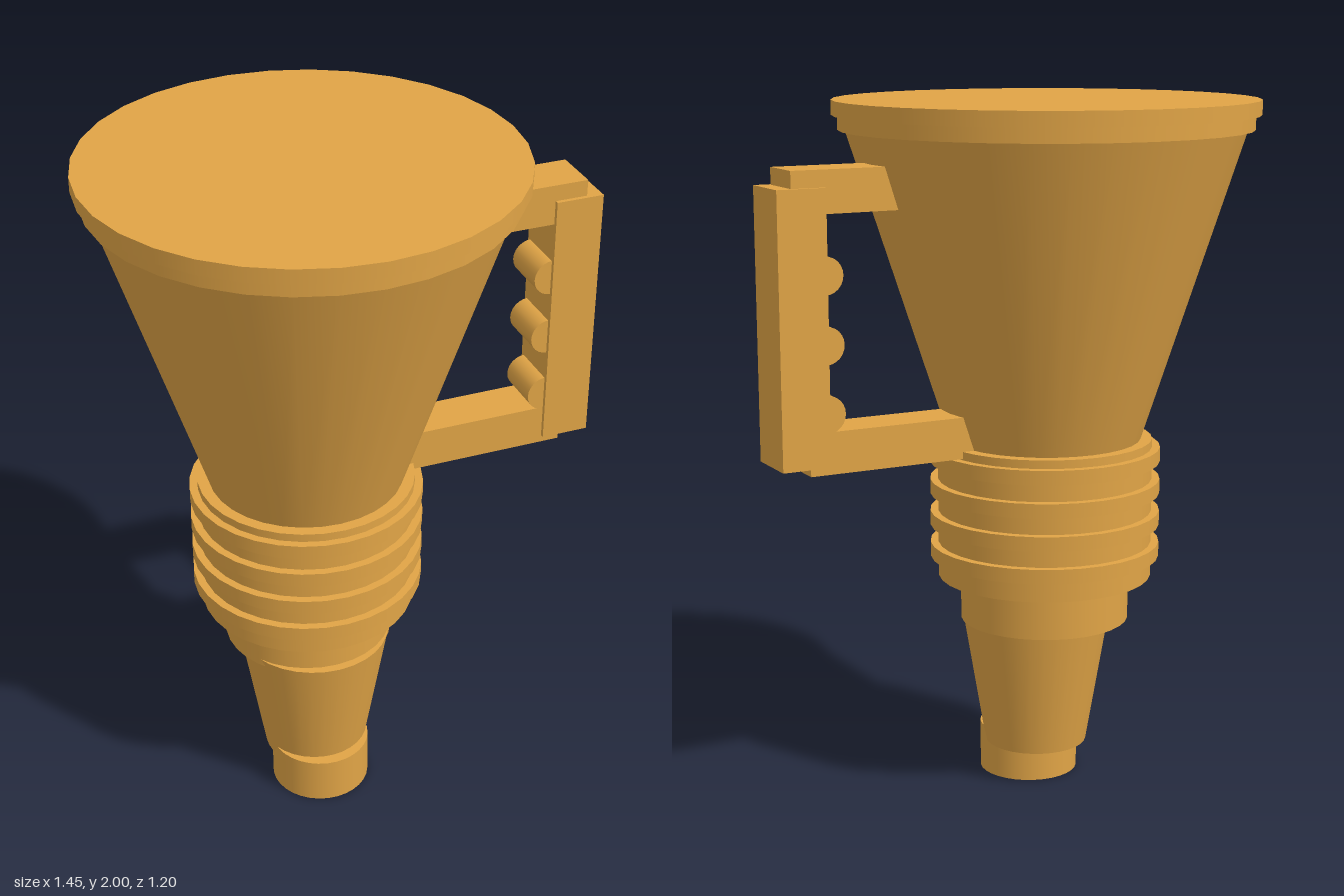
import * as THREE from 'three';

export function createModel() {
  const model = new THREE.Group();
  const material = new THREE.MeshStandardMaterial({ color: 0xe0a446 });
  const axisX = -0.125;

  const add = (name, geometry, x, y, z = 0) => {
    const mesh = new THREE.Mesh(geometry, material);
    mesh.name = name;
    mesh.position.set(x, y, z);
    model.add(mesh);
    return mesh;
  };
  // Round section standing between two heights
  const round = (name, rTop, rBottom, y0, y1, z = 0) =>
    add(name, new THREE.CylinderGeometry(rTop, rBottom, y1 - y0, 32), axisX, (y0 + y1) / 2, z);
  // Box between two x and two y limits, centred on z = 0
  const box = (name, x0, x1, y0, y1, depth) =>
    add(name, new THREE.BoxGeometry(x1 - x0, y1 - y0, depth), (x0 + x1) / 2, (y0 + y1) / 2);

  // Nozzle, stepping slightly forward towards the tip
  round('nozzleTip', 0.145, 0.145, 0, 0.14, 0.095);
  round('nozzleTaper', 0.22, 0.15, 0.1, 0.517, 0.05);
  round('nozzleCollar', 0.245, 0.245, 0.497, 0.63);

  // Ribbed neck
  round('neck', 0.31, 0.31, 0.628, 1.035);
  for (let i = 0; i < 4; i++) {
    const y = 0.99 - i * 0.094;
    round('neckRing', 0.333, 0.333, y - 0.021, y + 0.021);
  }

  // Cone and its stepped lid
  round('cone', 0.565, 0.275, 1.03, 1.925);
  round('lowerRim', 0.583, 0.583, 1.917, 1.96);
  round('lid', 0.6, 0.6, 1.958, 2);

  // Side handle with finger bumps
  box('upperArm', 0.3, 0.675, 1.72, 1.837, 0.14);
  box('lowerArm', 0.1, 0.635, 1.015, 1.133, 0.14);
  box('grip', 0.58, 0.72, 1.037, 1.79, 0.164);
  for (const y of [1.18, 1.368, 1.556]) {
    const bump = add('fingerBump', new THREE.CylinderGeometry(0.052, 0.052, 0.14, 24), 0.582, y);
    bump.rotation.x = Math.PI / 2;
  }

  return model;
}
